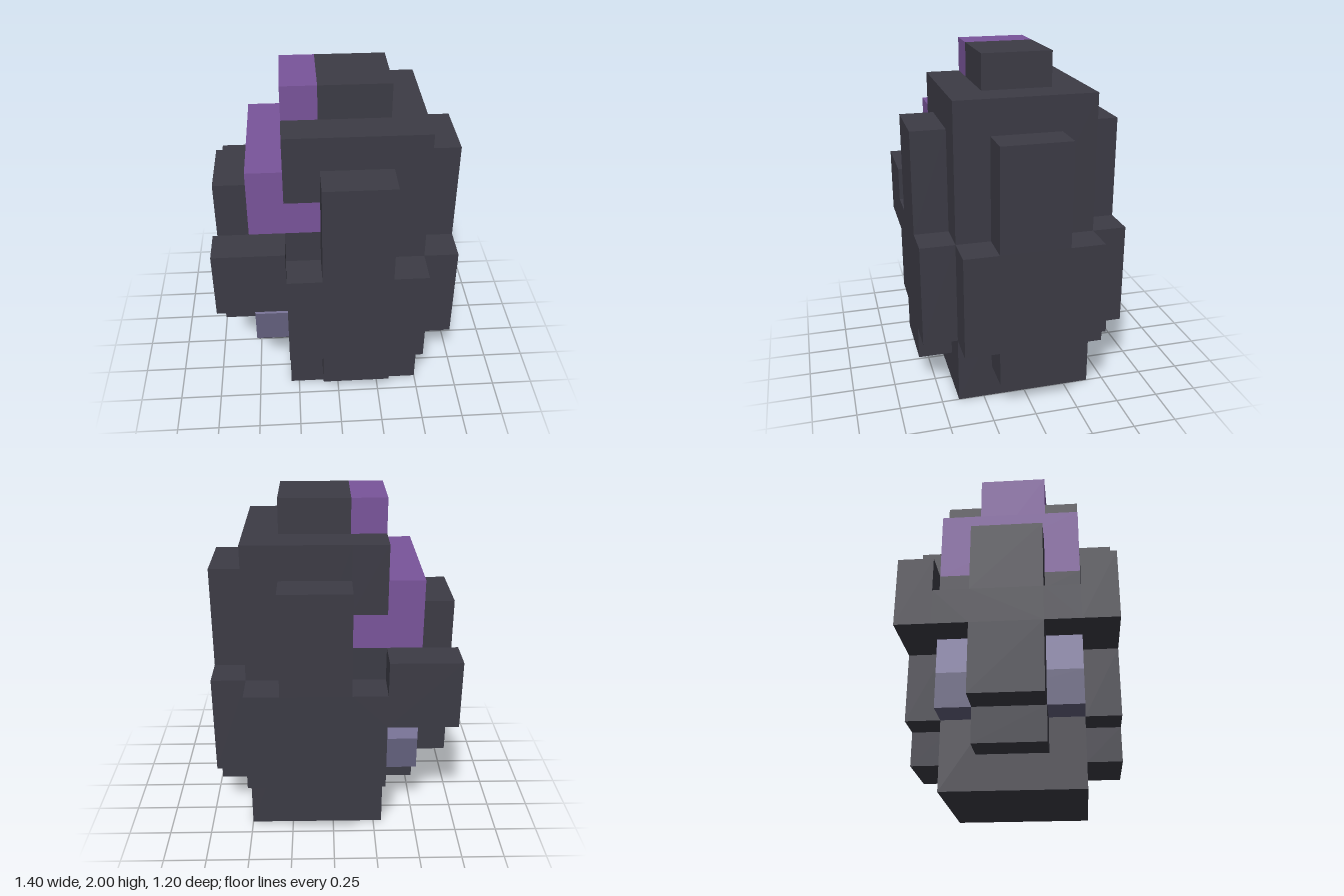
import * as THREE from 'three';

const mat = (name, color) => {
  const m = new THREE.MeshStandardMaterial({ color });
  m.name = name;
  return m;
};

export function createModel() {
  const dark = mat('charcoal', 0x3c3b45);
  const purple = mat('purple', 0x79549a);
  const pale = mat('pale lavender', 0x8882a9);
  const dusk = mat('dusky lavender', 0x63607d);
  const model = new THREE.Group();

  const add = (name, geometry, material) => {
    const mesh = new THREE.Mesh(geometry, material);
    mesh.name = name;
    model.add(mesh);
    return mesh;
  };

  // Box given by its limits on each axis
  const block = (name, material, [x0, x1], [y0, y1], [z0, z1]) =>
    add(name, new THREE.BoxGeometry(x1 - x0, y1 - y0, z1 - z0), material)
      .position.set((x0 + x1) / 2, (y0 + y1) / 2, (z0 + z1) / 2);

  // Stepped armour plate, 0.2 thick
  const plate = (name, points) => {
    const shape = new THREE.Shape(points.map(([x, y]) => new THREE.Vector2(x, y)));
    return add(name, new THREE.ExtrudeGeometry(shape, { depth: 0.2, bevelEnabled: false }), dark);
  };

  // Cross outline: a wide band with a narrower upright through it
  const cross = (low, bandLow, bandHigh, high) => [
    [-0.2, low], [0.2, low], [0.2, bandLow], [0.4, bandLow], [0.4, bandHigh], [0.2, bandHigh],
    [0.2, high], [-0.2, high], [-0.2, bandHigh], [-0.4, bandHigh], [-0.4, bandLow], [-0.2, bandLow],
  ];

  // Body, notched on its right side for the purple inlay
  block('body', dark, [-0.1, 0.5], [0, 1.8], [-0.4, 0.4]);
  block('lowerBodySide', dark, [-0.3, -0.1], [0, 1.2], [-0.4, 0.4]);
  for (const s of [-1, 1])
    block('upperBodyCorner', dark, [-0.3, -0.1], [1.4, 1.8], s < 0 ? [-0.4, -0.2] : [0.2, 0.4]);
  block('cap', dark, [-0.1, 0.3], [1.8, 2], [-0.2, 0.2]);

  // Purple inlay
  block('inlayColumn', purple, [-0.3, -0.1], [1.4, 2], [-0.2, 0.2]);
  block('inlayBase', purple, [-0.3, -0.1], [1.2, 1.4], [-0.4, 0.4]);
  block('inlayBar', purple, [-0.5, -0.3], [1.2, 1.6], [-0.4, 0.4]);

  // Front and back plates, each with an arm reaching to the right
  const armed = [
    [-0.3, 0.4], [-0.1, 0.4], [-0.1, 0.2], [0.3, 0.2], [0.3, 0.4], [0.5, 0.4], [0.5, 1], [0.3, 1],
    [0.3, 1.6], [-0.1, 1.6], [-0.1, 1], [-0.3, 1], [-0.3, 1.2], [-0.7, 1.2], [-0.7, 0.8], [-0.3, 0.8],
  ];
  plate('frontPlate', armed).position.z = 0.4;
  plate('backPlate', armed).position.z = -0.6;

  // Side plates
  const left = plate('leftPlate', cross(0.2, 0.4, 1, 1.6));
  left.rotation.y = Math.PI / 2;
  left.position.x = 0.5;
  const right = plate('rightPlate', cross(0.4, 0.8, 1, 1.4));
  right.rotation.y = Math.PI / 2;
  right.position.x = -0.7;

  // Layer between body and right plate
  block('rightBand', dark, [-0.5, -0.3], [0.8, 1.2], [-0.4, 0.4]);
  block('upperGlow', pale, [-0.5, -0.3], [0.6, 0.8], [-0.4, 0.4]);
  block('lowerGlow', dusk, [-0.5, -0.3], [0.4, 0.6], [-0.4, 0.4]);
  block('rightFoot', dark, [-0.5, -0.3], [0.2, 0.4], [-0.2, 0.2]);

  return model;
}
